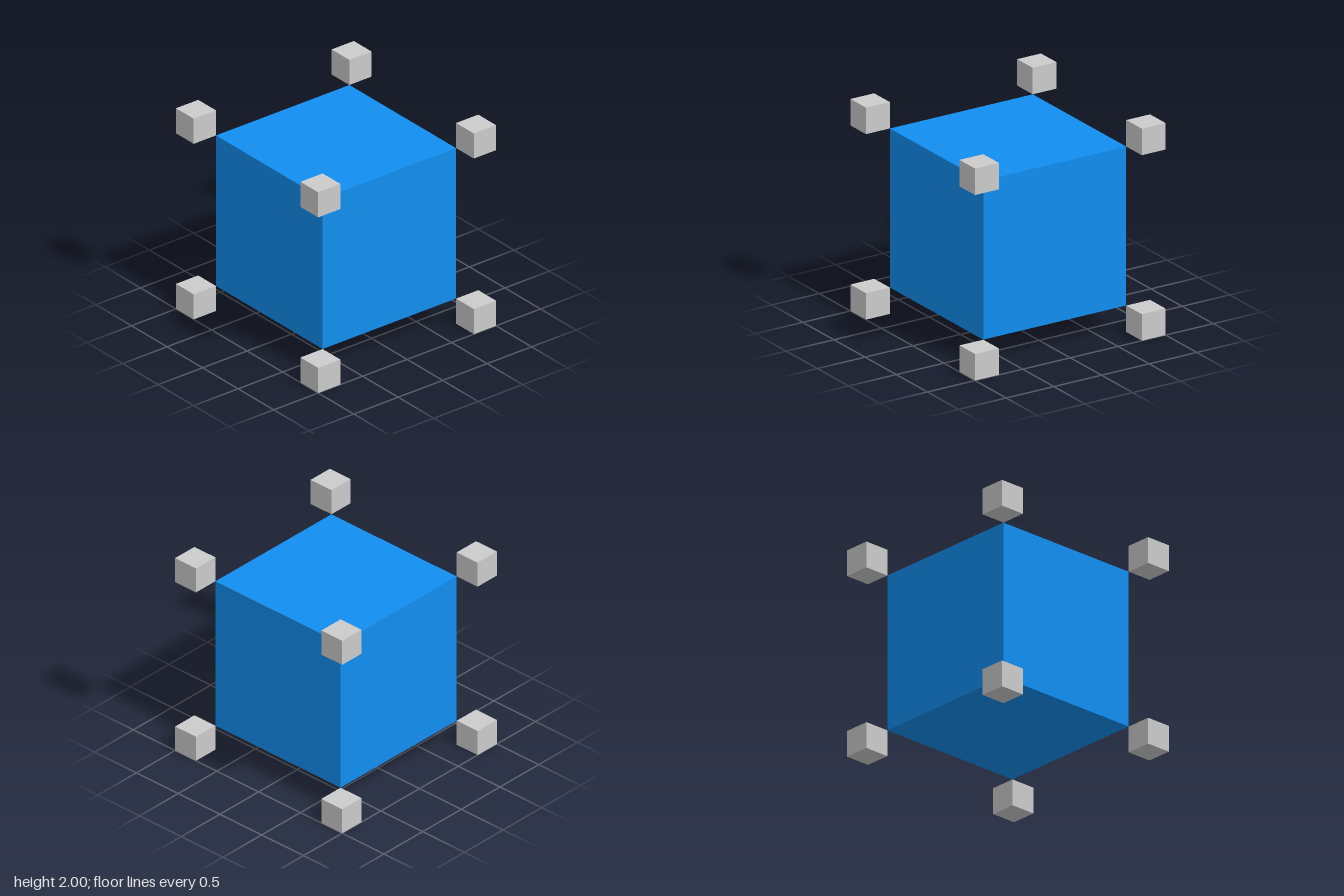
import * as THREE from 'three';

export function createModel() {
  const model = new THREE.Group();
  const blue = new THREE.MeshStandardMaterial({ color: 0x118ef0 });
  const grey = new THREE.MeshStandardMaterial({ color: 0xcccccc });

  // Large central cube
  const core = new THREE.Mesh(new THREE.BoxGeometry(1.5, 1.5, 1.5), blue);
  core.name = 'coreCube';
  core.position.y = 1;
  model.add(core);

  // Small cubes touching each corner of the core
  const cornerGeometry = new THREE.BoxGeometry(0.25, 0.25, 0.25);
  for (const x of [-1, 1]) {
    for (const y of [-1, 1]) {
      for (const z of [-1, 1]) {
        const corner = new THREE.Mesh(cornerGeometry, grey);
        corner.name = `${y > 0 ? 'top' : 'bottom'}${z > 0 ? 'Front' : 'Back'}${x > 0 ? 'Left' : 'Right'}CornerCube`;
        corner.position.set(x * 0.875, 1 + y * 0.875, z * 0.875);
        model.add(corner);
      }
    }
  }
  return model;
}
